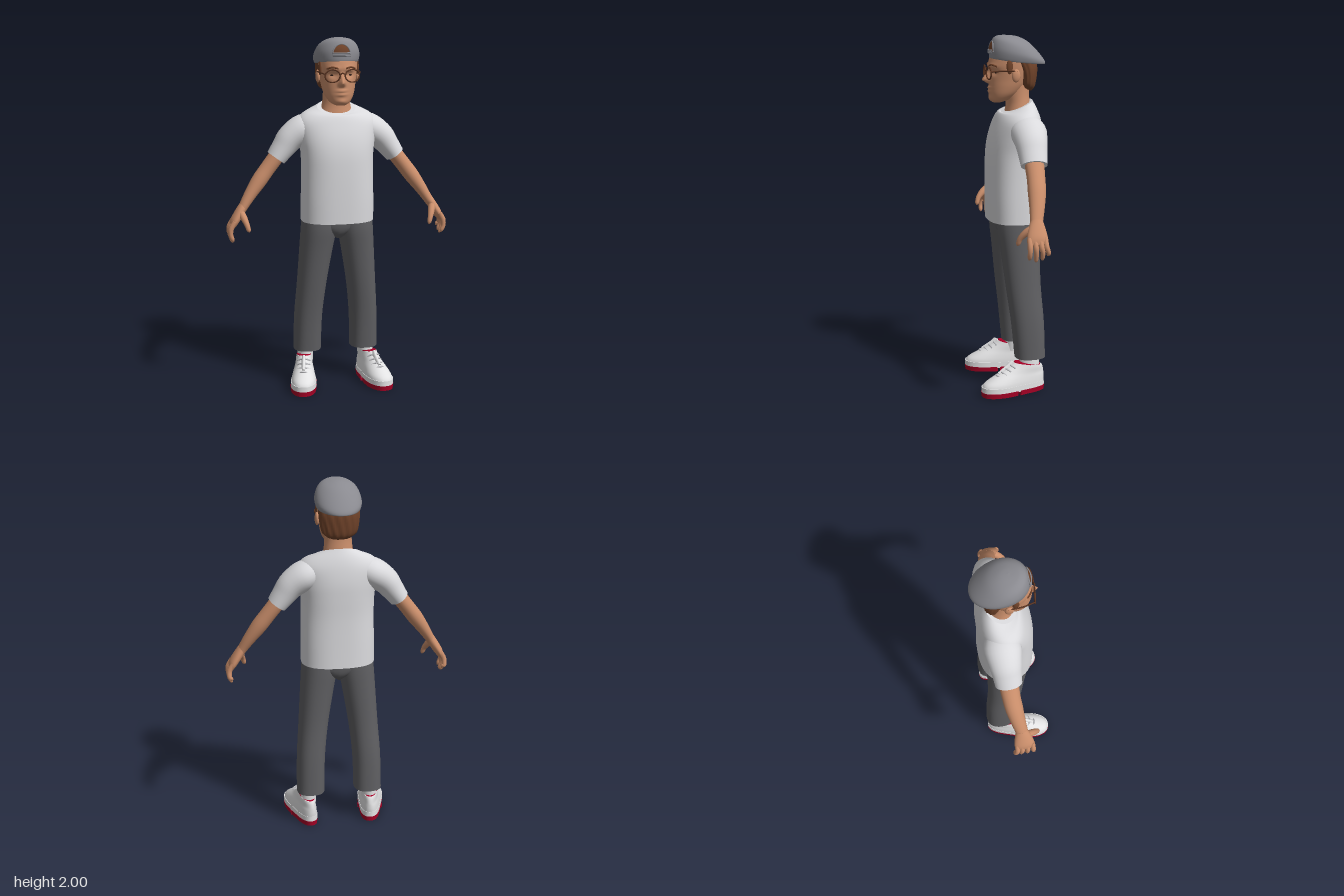
import * as THREE from 'three';

const mat = (name, color, side = THREE.FrontSide) => {
  const m = new THREE.MeshStandardMaterial({ color, side });
  m.name = name;
  return m;
};
const V = (x, y, z) => new THREE.Vector3(x, y, z);
const clamp = THREE.MathUtils.clamp;
const bell = (d, w) => Math.exp(-(d * d) / (w * w));

// Catmull-Rom interpolation of rows of numbers
function smooth(rows, steps) {
  const out = [], at = i => rows[clamp(i, 0, rows.length - 1)];
  for (let i = 0; i < rows.length - 1; i++) {
    for (let s = 0; s < steps; s++) {
      const t = s / steps, a = at(i - 1), c = at(i + 1), d = at(i + 2);
      out.push(at(i).map((b, k) => b + 0.5 * t * (c[k] - a[k] + t * (2 * a[k] - 5 * b + 4 * c[k] - d[k]
        + t * (3 * (b - c[k]) + d[k] - a[k])))));
    }
  }
  out.push(at(rows.length - 1));
  return out;
}

// Skin over closed rings, with a sharp-edged cap at both ends
function skin(rings) {
  const n = rings[0].length, pos = [], idx = [];
  const put = p => pos.push(p.x, p.y, p.z);
  rings.forEach(r => r.forEach(put));
  for (let i = 0; i < rings.length - 1; i++) for (let j = 0; j < n; j++) {
    const a = i * n + j, b = i * n + (j + 1) % n;
    idx.push(a, b, b + n, a, b + n, a + n);
  }
  [rings[0], rings[rings.length - 1]].forEach((ring, end) => {
    const base = pos.length / 3, mid = V(0, 0, 0);
    ring.forEach(p => { put(p); mid.addScaledVector(p, 1 / n); });
    put(mid);
    for (let j = 0; j < n; j++) {
      const a = base + j, b = base + (j + 1) % n;
      idx.push(base + n, end ? a : b, end ? b : a);
    }
  });
  const g = new THREE.BufferGeometry();
  g.setAttribute('position', new THREE.Float32BufferAttribute(pos, 3));
  g.setIndex(idx);
  g.computeVertexNormals();
  return g;
}

// Upright loft; row = [y, halfWidth, zFront, zBack, centreX, tilt, roundness]
function stack(rows, { n = 32, steps = 4, rule } = {}) {
  rows = rows.map(r => [...r, ...[0, 0, 2].slice(r.length - 4)]);
  return skin(smooth(rows, steps).map(([y, rx, zf, zb, cx, tilt, e]) => Array.from({ length: n }, (_, j) => {
    const t = j / n * Math.PI * 2, c = Math.cos(t), s = -Math.sin(t);
    const c2 = Math.sign(c) * Math.abs(c) ** (2 / e), s2 = Math.sign(s) * Math.abs(s) ** (2 / e);
    const p = V(cx + rx * c2, y + tilt * s2, (zf + zb) / 2 + (zf - zb) / 2 * s2);
    if (rule) rule(p, t);
    return p;
  })));
}

// Limb loft along a path; row = [x, y, z, halfThickness, halfDepthInZ], mirrored by s
function limb(rows, s = 1, n = 20, steps = 4) {
  const pts = smooth(rows.map(([x, ...r]) => [x * s, ...r]), steps);
  return skin(pts.map(([x, y, z, a, b], i) => {
    const p = pts[Math.max(i - 1, 0)], q = pts[Math.min(i + 1, pts.length - 1)];
    const w = V(q[0] - p[0], q[1] - p[1], q[2] - p[2]).normalize();
    const v = V(0, 0, 1).addScaledVector(w, -w.z).normalize(), u = v.clone().cross(w);
    return Array.from({ length: n }, (_, j) => {
      const t = j / n * Math.PI * 2;
      return V(x, y, z).addScaledVector(u, a * Math.cos(t)).addScaledVector(v, b * Math.sin(t));
    });
  }));
}

export function createModel() {
  const skinTone = mat('skin', 0xca8e6b), shirt = mat('shirt fabric', 0xdadadd), trousers = mat('trouser fabric', 0x5f5f62);
  const capGrey = mat('cap fabric', 0x8a8a90), brown = mat('hair brown', 0x70432a, THREE.DoubleSide);
  const frame = mat('glasses frame', 0x5c3522), dark = mat('eye dark', 0x2b1c16);
  const white = mat('shoe leather', 0xe2e2e3), red = mat('sole red', 0xa80026), lace = mat('lace grey', 0xc2c2c6);
  const model = new THREE.Group();
  model.name = 'standingMan';
  const add = (name, geo, m, parent = model) => {
    const mesh = new THREE.Mesh(geo, m);
    mesh.name = name;
    parent.add(mesh);
    return mesh;
  };
  const tube = (pts, r, seg = 12) => new THREE.TubeGeometry(new THREE.CatmullRomCurve3(pts.map(p => V(...p))), seg, r, 6);
  const blob = (rx, ry, rz) => new THREE.SphereGeometry(1, 16, 12).scale(rx, ry, rz);

  // Shirt body
  add('shirtBody', stack([
    [0.97, 0.206, 0.12, -0.188, 0, 0, 2.5], [1.1, 0.205, 0.122, -0.185, 0, 0, 2.5], [1.25, 0.203, 0.122, -0.183, 0, 0, 2.4],
    [1.36, 0.205, 0.117, -0.186, 0, 0, 2.4], [1.45, 0.218, 0.1, -0.187, 0, 0, 2.3], [1.53, 0.225, 0.07, -0.178, 0, 0, 2.2],
    [1.58, 0.185, 0.048, -0.162, 0, -0.01], [1.607, 0.108, 0.034, -0.138, 0, -0.035],
  ], { n: 48 }), shirt);

  // Neck and head, with brow, eye sockets, nose, lips and chin shaped by a rule
  add('neck', stack([[1.55, 0.098, 0.02, -0.125], [1.62, 0.081, 0.008, -0.125], [1.68, 0.075, 0.01, -0.12], [1.76, 0.075, 0.01, -0.12]]), skinTone);
  add('head', stack([
    [1.632, 0.03, 0.088, 0.03], [1.648, 0.056, 0.1, -0.01], [1.68, 0.078, 0.105, -0.06], [1.72, 0.091, 0.106, -0.1],
    [1.76, 0.098, 0.105, -0.125], [1.8, 0.104, 0.103, -0.135], [1.85, 0.108, 0.106, -0.14], [1.9, 0.106, 0.09, -0.14], [1.94, 0.085, 0.06, -0.12],
  ], {
    n: 80, steps: 6, rule: p => {
      if (p.z < 0.03) return;
      const { x, y } = p, ax = Math.abs(x);
      p.z += 0.04 * bell(x, 0.01 + 0.1 * clamp(1.81 - y, 0, 0.075)) * clamp((1.82 - y) / 0.06, 0, 1) * clamp((y - 1.732) / 0.022, 0, 1);
      p.z += 0.008 * bell(y - 1.832, 0.014) * bell(ax - 0.04, 0.04) - 0.012 * bell(y - 1.8, 0.016) * bell(ax - 0.045, 0.022);
      p.z += bell(x, 0.028) * (0.009 * bell(y - 1.712, 0.007) + 0.008 * bell(y - 1.693, 0.008) - 0.005 * bell(y - 1.703, 0.004));
      p.z += 0.006 * bell(x, 0.025) * bell(y - 1.655, 0.012);
    },
  }), skinTone);

  // Hair below the cap, with wavy locks
  add('hair', stack([
    [1.705, 0.07, -0.065, -0.128, 0, 0.015], [1.73, 0.096, -0.05, -0.148, 0, 0.015], [1.78, 0.108, -0.042, -0.158, 0, 0.01],
    [1.83, 0.113, -0.02, -0.162], [1.88, 0.112, 0.02, -0.15],
  ], { n: 64, rule: (p, t) => p.multiply(V(1 + 0.018 * Math.sin(t * 16), 1, 1 + 0.018 * Math.sin(t * 16 + p.y * 40))) }), brown);

  // Cap turned backwards, the peak sloping down behind
  add('cap', stack([
    [1.855, 0.114, 0.096, -0.2, 0, 0.018], [1.86, 0.121, 0.101, -0.211, 0, 0.02, 2.1], [1.898, 0.127, 0.098, -0.203, 0, 0.035, 2.1],
    [1.945, 0.111, 0.082, -0.165, 0, 0.034], [1.978, 0.078, 0.056, -0.115, 0, 0.018], [1.994, 0.036, 0.03, -0.06, 0, 0.005], [1.998, 0.004, 0, -0.01],
  ], { n: 48 }), capGrey);
  const capZ = (x, y) => 0.104 - 4.8 * x * x - 7 * Math.max(0, y - 1.918) ** 2;
  const opening = new THREE.PlaneGeometry(1, 1, 12, 8), op = opening.attributes.position;
  for (let i = 0; i < op.count; i++) {
    const h = op.getY(i) + 0.5, x = op.getX(i) * 0.094 * Math.sqrt(1 - 0.9 * h * h), y = 1.91 + 0.055 * h;
    op.setXYZ(i, x, y, capZ(x, y));
  }
  opening.computeVertexNormals();
  add('capOpeningHair', opening, brown);
  const bow = (w, y, h, k) => Array.from({ length: 11 }, (_, i) => {
    const a = i / 10 * Math.PI, x = -w * Math.cos(a), yy = y + h * Math.sin(a);
    return [x, yy, capZ(x, yy) + k];
  });
  add('capOpeningTrim', tube(bow(0.05, 1.91, 0.057, 0), 0.004, 30), capGrey);
  for (const y of [1.904, 1.911, 1.918]) add('capStrap', tube(bow(0.049, y, 0, 0.002), 0.005, 20), capGrey);

  // Pelvis
  add('trouserSeat', stack([[0.87, 0.02, 0.03, -0.1], [0.9, 0.08, 0.06, -0.135], [0.94, 0.17, 0.075, -0.15], [1.0, 0.195, 0.08, -0.155]]), trousers);
  add('glassesBridge', tube([[-0.014, 1.805, 0.122], [0, 1.812, 0.126], [0.014, 1.805, 0.122]], 0.004), frame);

  for (const s of [1, -1]) {
    const side = new THREE.Group();
    side.name = s > 0 ? 'leftSide' : 'rightSide';
    model.add(side);
    const part = (name, geo, m) => add(name, geo, m, side);

    // Face details
    part('ear', blob(0.013, 0.036, 0.024), skinTone).position.set(s * 0.11, 1.785, -0.022);
    part('sideburn', blob(0.01, 0.042, 0.018), brown).position.set(s * 0.104, 1.835, 0.012);
    part('eye', blob(0.014, 0.006, 0.004), dark).position.set(s * 0.047, 1.798, 0.077);
    part('eyebrow', tube([[s * 0.02, 1.835, 0.108], [s * 0.05, 1.842, 0.1], [s * 0.078, 1.833, 0.075]], 0.005), brown);
    const rim = part('glassesRim', new THREE.TorusGeometry(0.04, 0.0042, 6, 28).scale(1.02, 0.86, 1), frame);
    rim.position.set(s * 0.055, 1.797, 0.118);
    rim.rotation.y = s * 0.12;
    part('glassesTemple', tube([[s * 0.095, 1.807, 0.113], [s * 0.112, 1.812, 0.05], [s * 0.115, 1.81, -0.03]], 0.004), frame);

    // Sleeve, arm and hand
    part('sleeve', limb([
      [0.1, 1.51, -0.07, 0.06, 0.07], [0.18, 1.488, -0.072, 0.083, 0.1], [0.255, 1.44, -0.07, 0.077, 0.09],
      [0.3, 1.385, -0.068, 0.066, 0.08], [0.342, 1.328, -0.066, 0.056, 0.073]], s, 28), shirt);
    part('arm', limb([
      [0.28, 1.42, -0.068, 0.046, 0.055], [0.345, 1.33, -0.066, 0.044, 0.053], [0.395, 1.265, -0.062, 0.043, 0.05], [0.44, 1.205, -0.055, 0.043, 0.049],
      [0.49, 1.135, -0.043, 0.035, 0.042], [0.532, 1.07, -0.03, 0.027, 0.035], [0.55, 1.04, -0.027, 0.024, 0.036]], s), skinTone);
    part('palm', limb([
      [0.535, 1.07, -0.03, 0.025, 0.033], [0.56, 1.03, -0.025, 0.026, 0.047], [0.588, 0.985, -0.022, 0.024, 0.056], [0.602, 0.955, -0.022, 0.015, 0.05]], s), skinTone);
    [0.024, -0.006, -0.036, -0.063].forEach((z, i) => {
      const tip = [0.878, 0.866, 0.873, 0.895][i], spread = z * 1.15 - 0.002;
      part('finger', limb([
        [0.59, 0.99, z, 0.014, 0.013], [0.612, 0.95, z, 0.015, 0.0145], [0.614, 0.915, spread, 0.013, 0.0125],
        [0.604, tip + 0.012, spread, 0.011, 0.011], [0.599, tip, spread, 0.004, 0.004]], s, 10), skinTone);
    });
    part('thumb', limb([
      [0.552, 1.035, -0.005, 0.02, 0.022], [0.54, 1.01, 0.03, 0.019, 0.02], [0.528, 0.98, 0.056, 0.015, 0.015],
      [0.519, 0.95, 0.066, 0.012, 0.012], [0.515, 0.938, 0.068, 0.004, 0.004]], s, 12), skinTone);

    // Trouser leg and sock
    part('trouserLeg', stack([
      [0.195, 0.079, -0.004, -0.176, s * 0.167, 0, 2.4], [0.4, 0.08, 0.016, -0.17, s * 0.162, 0, 2.3], [0.6, 0.084, 0.042, -0.156, s * 0.144, 0, 2.2],
      [0.8, 0.094, 0.065, -0.153, s * 0.121, 0, 2.2], [0.92, 0.101, 0.08, -0.153, s * 0.106, 0, 2.2], [1.0, 0.1, 0.08, -0.15, s * 0.1, 0, 2.2],
    ]), trousers);
    part('sock', stack([[0.12, 0.046, -0.025, -0.14, s * 0.182], [0.25, 0.045, -0.03, -0.14, s * 0.175]]), white);

    // Shoe, toe turned outward
    const shoe = new THREE.Group();
    shoe.name = 'shoe';
    shoe.position.set(s * 0.205, 0, 0.012);
    shoe.rotation.y = s * 0.2;
    side.add(shoe);
    const widen = p => { p.x *= 1 + 0.13 * Math.sin(clamp((p.z - 0.03) / 0.12, -1, 1) * Math.PI / 2); };
    const footprint = (y, grow) => [y, 0.07 + grow, 0.194 + grow, -0.184 - grow, 0, 0, 2.4];
    const sole = (name, limit) => add(name, stack([footprint(0, 0), footprint(0.028, 0.003)], {
      n: 48, steps: 1, rule: p => { widen(p); p.z = limit(p.z); } }), red, shoe);
    sole('frontSole', z => Math.max(z, 0));
    sole('heelSole', z => Math.min(z, -0.012));
    add('midsole', stack([footprint(0.022, 0.002), footprint(0.056, 0.001)], { n: 48, steps: 1, rule: widen }), white, shoe);
    add('shoeUpper', stack([
      [0.05, 0.069, 0.192, -0.182, 0, 0, 2.4], [0.072, 0.067, 0.178, -0.184, 0, 0, 2.3], [0.096, 0.062, 0.132, -0.184, 0, 0.004, 2.2],
      [0.12, 0.056, 0.078, -0.183, 0, 0.01], [0.145, 0.053, 0.03, -0.178, 0, 0.012], [0.162, 0.05, 0.006, -0.172, 0, 0.016],
    ], { n: 40, rule: widen }), white, shoe);
    add('shoeLining', stack([[0.16, 0.044, 0, -0.166, 0, 0.016], [0.165, 0.042, -0.004, -0.164, 0, 0.016]], { steps: 1 }), red, shoe);
    add('tongue', limb([[0, 0.115, 0.09, 0.01, 0.018], [0, 0.15, 0.035, 0.012, 0.02], [0, 0.185, 0.012, 0.008, 0.01]]), white, shoe);
    for (let i = 0; i < 4; i++) {
      const y = 0.113 + i * 0.017, z = 0.108 - i * 0.027;
      add('lace', tube([[-0.036, y - 0.012, z - 0.022], [0, y + 0.004, z], [0.036, y - 0.012, z - 0.022]], 0.005), lace, shoe);
    }
  }
  return model;
}
